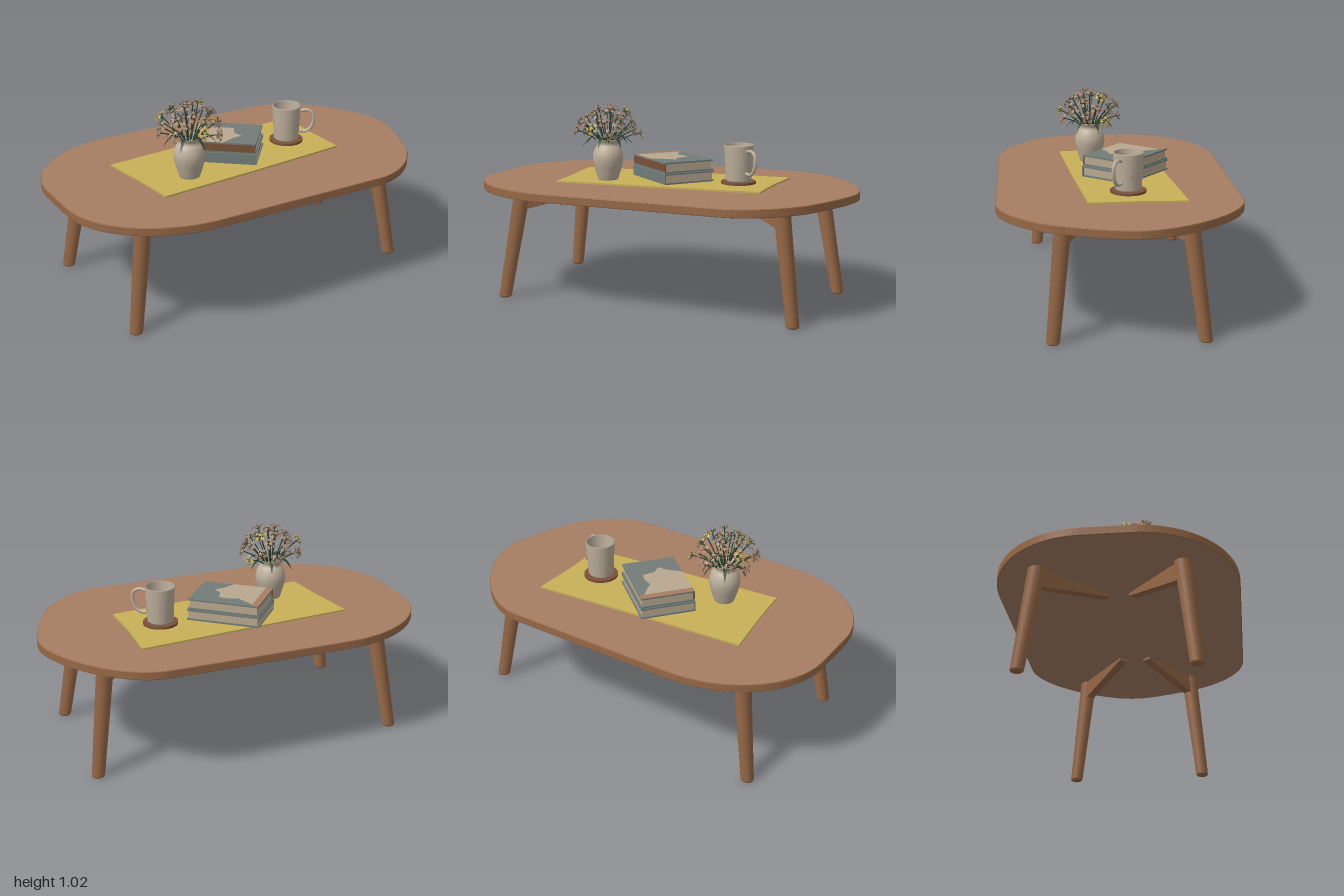
import * as THREE from 'three';
import { mergeGeometries } from 'three/addons/utils/BufferGeometryUtils.js';

const mat = (name, color, side = THREE.FrontSide) => {
  const m = new THREE.MeshStandardMaterial({ color, side });
  m.name = name;
  return m;
};
const V = (x, y, z) => new THREE.Vector3(x, y, z);
const lathePts = (pts) => pts.map(([x, y]) => new THREE.Vector2(x, y));

// Flat outline given in x/z, lifted into a slab standing on its own base
function slab(shape, depth, bevel = 0) {
  const g = new THREE.ExtrudeGeometry(shape, {
    depth: depth - 2 * bevel, bevelEnabled: bevel > 0, bevelThickness: bevel,
    bevelSize: bevel, bevelOffset: -bevel, bevelSegments: 2, curveSegments: 24,
  });
  return g.rotateX(-Math.PI / 2).translate(0, bevel, 0);
}
const polygon = (pts) => new THREE.Shape(pts.map(([x, z]) => new THREE.Vector2(x, -z)));

export function createModel() {
  const root = new THREE.Group();
  root.name = 'coffeeTable';
  const M = {
    top: mat('tabletop wood', 0xa67e62),
    wood: mat('leg wood', 0x966847),
    runner: mat('runner yellow', 0xc8b058, THREE.DoubleSide),
    ceramic: mat('ceramic', 0xbcae9b, THREE.DoubleSide),
    slate: mat('book slate', 0x727c79),
    paper: mat('book cream', 0xb9a78f),
    brown: mat('coaster brown', 0x7a5138),
    petal: mat('petal rose', 0xac856d, THREE.DoubleSide),
    yellow: mat('petal yellow', 0xcfae55, THREE.DoubleSide),
    green: mat('stem green', 0x2f4230, THREE.DoubleSide),
  };
  const add = (parent, name, geo, material, x = 0, y = 0, z = 0) => {
    const m = new THREE.Mesh(geo, material);
    m.name = name;
    m.position.set(x, y, z);
    parent.add(m);
    return m;
  };
  const group = (name, x, y, z, ry = 0) => {
    const g = new THREE.Group();
    g.name = name;
    g.position.set(x, y, z);
    g.rotation.y = ry;
    root.add(g);
    return g;
  };

  // Tabletop: lopsided rounded oblong
  const t = new THREE.Shape();
  t.moveTo(-0.42, 0.605);
  t.bezierCurveTo(-0.75, 0.605, -1, 0.38, -1, 0.12);
  t.lineTo(-1, -0.12);
  t.bezierCurveTo(-1, -0.38, -0.75, -0.605, -0.42, -0.605);
  t.lineTo(0.5, -0.605);
  t.bezierCurveTo(0.68, -0.605, 0.83, -0.45, 0.89, -0.32);
  t.bezierCurveTo(0.94, -0.2, 1, -0.05, 1, 0.05);
  t.bezierCurveTo(1, 0.25, 0.75, 0.605, 0.5, 0.605);
  add(root, 'tabletop', slab(t, 0.043, 0.004), [M.top, M.wood], 0, 0.57, 0);

  // Splayed legs (foot x/z, head x/z) with diagonal braces
  const legs = [
    [-0.787, 0.395, -0.7, 0.337], [0.797, 0.345, 0.712, 0.288],
    [-0.787, -0.425, -0.7, -0.367], [0.818, -0.383, 0.738, -0.31],
  ];
  for (const [fx, fz, hx, hz] of legs) {
    const g = new THREE.LatheGeometry(
      lathePts([[0, 0], [0.025, 0], [0.031, 0.004], [0.033, 0.012], [0.043, 0.572]]), 28);
    const p = g.attributes.position;
    for (let i = 0; i < p.count; i++) {
      const k = p.getY(i) / 0.572;
      p.setX(i, p.getX(i) + fx + (hx - fx) * k);
      p.setZ(i, p.getZ(i) + fz + (hz - fz) * k);
    }
    add(root, 'leg', g, M.wood);

    const dx = Math.sign(hx) * 0.39 - hx, dz = Math.sign(hz) * 0.065 - hz;
    const len = Math.hypot(dx, dz);
    const wedge = new THREE.Shape([[0, 0.572], [0, 0.475], [0.03, 0.477], [len, 0.556], [len, 0.572]]
      .map(([a, b]) => new THREE.Vector2(a, b)));
    const brace = new THREE.ExtrudeGeometry(wedge, { depth: 0.046, bevelEnabled: false }).translate(0, 0, -0.023);
    add(root, 'brace', brace, M.wood, hx, 0, hz).rotation.y = -Math.atan2(dz, dx);
  }

  // Cloth runner with slightly bowed ends
  add(root, 'runner', slab(polygon([[-0.6, -0.23], [0, -0.279], [0.555, -0.33], [0.546, -0.08],
    [0.555, 0.16], [0, 0.215], [-0.535, 0.26], [-0.562, 0.02]]), 0.009), M.runner, 0, 0.613, 0);

  // Two stacked books, u along the length, v across
  const books = group('books', -0.015, 0.622, -0.07, -0.69);
  const book = (name, y, w, d, h, spine) => {
    for (const cy of [0.004, h - 0.004])
      add(books, name + 'Cover', new THREE.BoxGeometry(w, 0.008, d), M.slate, 0, y + cy, 0);
    add(books, name + 'Pages', new THREE.BoxGeometry(w - 0.016, h - 0.016, d - 0.012), M.paper, 0, y + h / 2, 0);
    add(books, name + 'Spine', new THREE.BoxGeometry(w, h - 0.016, 0.006), spine, 0, y + h / 2, d / 2 - 0.003);
  };
  book('lowerBook', 0, 0.385, 0.285, 0.056, M.slate);
  book('upperBook', 0.058, 0.375, 0.28, 0.056, M.brown);
  const coverPatch = polygon([[-0.15, -0.115], [-0.095, -0.083], [-0.059, -0.057], [0, -0.072], [0.043, -0.067],
    [0.057, -0.002], [0.1, 0.033], [0.06, 0.07], [0.021, 0.14], [-0.15, 0.14]]);
  add(books, 'coverPicture', slab(coverPatch, 0.001), M.paper, 0, 0.114, 0);
  add(books, 'coverBand', slab(polygon([[-0.187, -0.14], [-0.15, -0.14], [-0.15, 0.14], [-0.187, 0.14]]), 0.001),
    M.top, 0, 0.114, 0);

  // Coaster and mug
  const mug = group('mug', 0.365, 0.622, -0.05, -Math.atan2(0.57, 0.82));
  add(mug, 'coaster', new THREE.CylinderGeometry(0.09, 0.09, 0.012, 40), M.brown, 0, 0.006, 0);
  add(mug, 'mugBody', new THREE.LatheGeometry(lathePts([[0, 0.012], [0.06, 0.012], [0.067, 0.02], [0.077, 0.198],
    [0.075, 0.203], [0.071, 0.2], [0.062, 0.028], [0.055, 0.022], [0, 0.022]]), 40), M.ceramic);
  const handle = new THREE.CatmullRomCurve3([V(0.07, 0.17, 0), V(0.105, 0.178, 0), V(0.138, 0.163, 0),
    V(0.146, 0.12, 0), V(0.13, 0.075, 0), V(0.1, 0.055, 0), V(0.066, 0.058, 0)]);
  add(mug, 'mugHandle', new THREE.TubeGeometry(handle, 32, 0.009, 10), M.ceramic);
  const print = group('mugPrint', 0.441, 0.71, -0.066);
  for (let i = 0; i < 5; i++) {
    const a = i * Math.PI * 0.4 + Math.PI / 2;
    add(print, 'printedPetal', new THREE.CircleGeometry(0.005, 8).rotateY(Math.PI / 2), M.petal,
      0, Math.sin(a) * 0.009, Math.cos(a) * 0.009);
  }

  // Vase
  const vase = group('vase', -0.315, 0.622, 0.1);
  const profile = new THREE.SplineCurve(lathePts([[0.052, 0], [0.062, 0.03], [0.077, 0.085], [0.08, 0.125],
    [0.07, 0.16], [0.056, 0.182], [0.055, 0.195], [0.064, 0.214]])).getPoints(32);
  const inner = lathePts([[0.06, 0.214], [0.05, 0.192], [0.045, 0.15], [0, 0.14]]);
  add(vase, 'vaseBody', new THREE.LatheGeometry([new THREE.Vector2(0, 0), ...profile, ...inner], 40), M.ceramic);

  // Bouquet: domed spray of stems, each ending in a small cluster of florets
  const stems = [], rose = [], gold = [];
  const floretShape = new THREE.Shape(Array.from({ length: 20 }, (_, i) => {
    const a = i * Math.PI / 10, r = 0.0095 + 0.0045 * Math.cos(5 * a);
    return new THREE.Vector2(Math.cos(a) * r, Math.sin(a) * r);
  }));
  const up = V(0, 0, 1);
  const floret = (pos, normal) =>
    new THREE.ShapeGeometry(floretShape)
      .applyQuaternion(new THREE.Quaternion().setFromUnitVectors(up, normal))
      .translate(pos.x, pos.y, pos.z);
  const stem = (a, b, c, r) =>
    stems.push(new THREE.TubeGeometry(new THREE.QuadraticBezierCurve3(a, b, c), 6, r, 5));
  const heads = 27, golden = 2.39996;
  for (let i = 0; i < heads; i++) {
    const c = 1 - 0.88 * (i + 0.3) / heads, s = Math.sqrt(1 - c * c), a = i * golden;
    const dir = V(Math.cos(a) * s, c, Math.sin(a) * s);
    const reach = 0.155 + 0.012 * Math.sin(i * 2.7);
    const fork = dir.clone().multiplyScalar(reach).add(V(0, 0.218, 0));
    const root0 = V(Math.cos(a) * s * 0.04, 0.19, Math.sin(a) * s * 0.04);
    const mid = root0.clone().lerp(fork, 0.5).add(V(0, 0.02 * s, 0));
    stem(root0, mid, fork, 0.003);
    const side = V(-dir.z, 0, dir.x).normalize(), across = dir.clone().cross(side);
    for (let k = 0; k < 6; k++) {
      const b = k * Math.PI * 0.4 + i, r = k === 5 ? 0 : 0.025;
      const tip = fork.clone().addScaledVector(dir, k === 5 ? 0.024 : 0.017)
        .addScaledVector(side, Math.cos(b) * r).addScaledVector(across, Math.sin(b) * r);
      stem(fork, fork.clone().lerp(tip, 0.5).addScaledVector(dir, 0.002), tip, 0.0014);
      const normal = dir.clone().multiplyScalar(0.03).add(tip.clone().sub(fork)).normalize();
      (i % 7 === 5 ? gold : rose).push(floret(tip, normal));
    }
  }
  add(vase, 'stems', mergeGeometries(stems), M.green);
  add(vase, 'roseFlorets', mergeGeometries(rose), M.petal);
  add(vase, 'yellowFlorets', mergeGeometries(gold), M.yellow);

  // Drooping leaves over the rim
  for (let i = 0; i < 7; i++) {
    const g = new THREE.PlaneGeometry(1, 1, 10, 1), p = g.attributes.position;
    for (let j = 0; j < p.count; j++) {
      const k = p.getX(j) + 0.5;
      p.setXYZ(j, 0.035 + 0.105 * k, 0.2 + 0.13 * k - 0.155 * k * k, p.getY(j) * 0.022 * Math.sin(Math.PI * (0.1 + 0.9 * k)));
    }
    g.computeVertexNormals();
    add(vase, 'leaf', g, M.green).rotation.y = i * 0.9 + 0.3;
  }
  return root;
}
